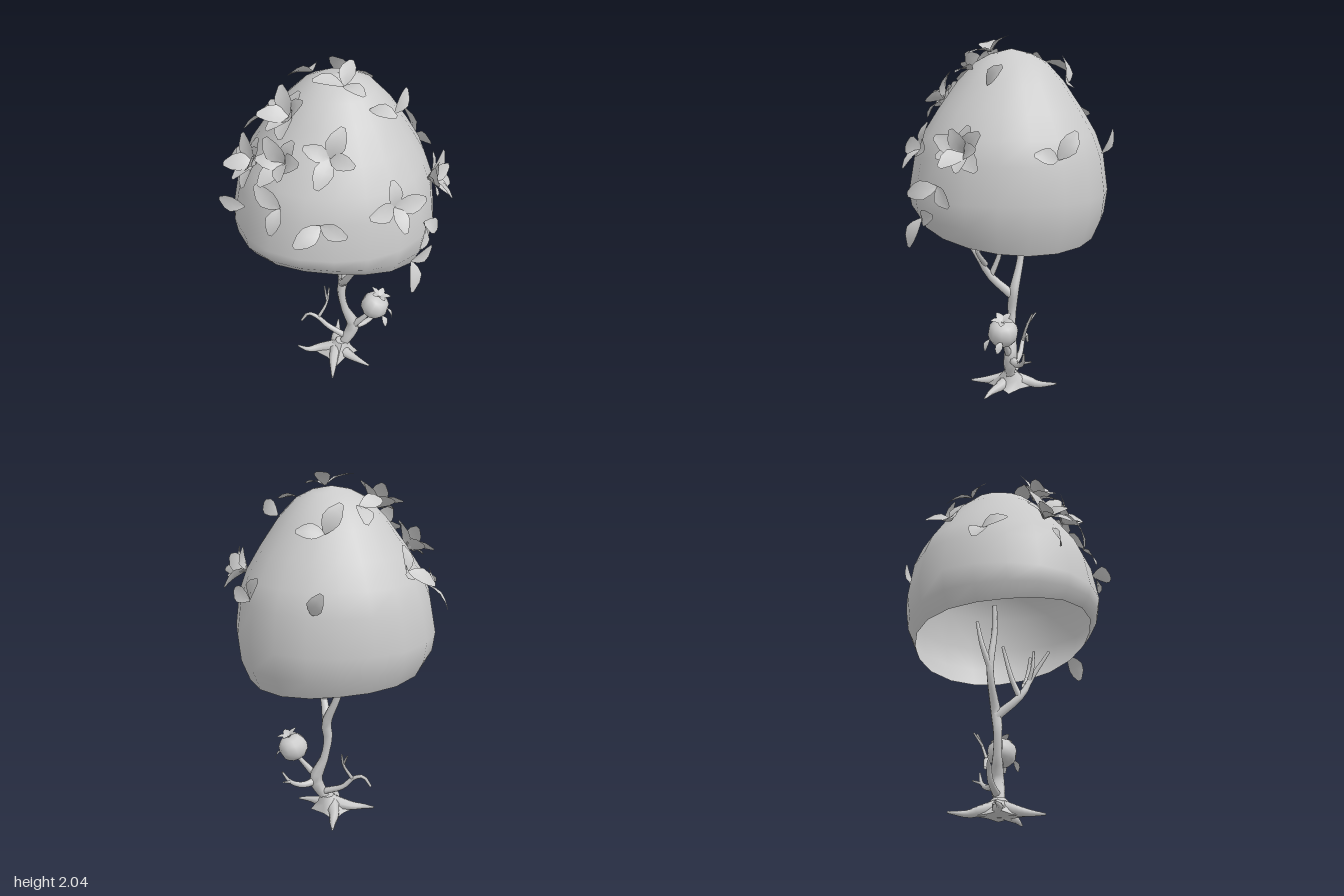
import * as THREE from 'three';

const solid = new THREE.MeshStandardMaterial({ color: 0xcccccc });
const thin = new THREE.MeshStandardMaterial({ color: 0xcccccc, side: THREE.DoubleSide });
const V = (x, y, z) => new THREE.Vector3(x, y, z);
const { lerp, degToRad } = THREE.MathUtils;

function add(parent, name, geo, material) {
  const m = new THREE.Mesh(geo, material);
  m.name = name;
  parent.add(m);
  return m;
}

function group(parent, name) {
  const g = new THREE.Group();
  g.name = name;
  parent.add(g);
  return g;
}

// Canopy profile from the crown down: height, radius
const profile = [[1.97, 0.002], [1.945, 0.11], [1.9, 0.195], [1.8, 0.29], [1.65, 0.395], [1.52, 0.475], [1.4, 0.522], [1.2, 0.554]];

// Slightly squared-off round section, leaning a little as it rises
function sectionPoint(az, y, r) {
  const s = Math.sin(az), c = Math.cos(az);
  const k = r * (Math.abs(s) ** 2.25 + Math.abs(c) ** 2.25) ** (-1 / 2.25);
  return V(s * k + 0.03 * Math.max(0, y - 1.2), y, c * k + 0.02 * (1.97 - y));
}

function canopyPoint(az, y) {
  let i = 0;
  while (i < profile.length - 2 && profile[i + 1][0] > y) i++;
  const [y0, r0] = profile[i], [y1, r1] = profile[i + 1];
  return sectionPoint(az, y, lerp(r0, r1, Math.min(1, (y - y0) / (y1 - y0))));
}

// Open dome with a wavy rim that curls inwards
function canopyGeometry() {
  const n = 20, pos = [], idx = [];
  for (let r = 0; r < profile.length + 2; r++) {
    for (let i = 0; i < n; i++) {
      const az = (i / n) * Math.PI * 2;
      const rim = 1 + 0.055 * Math.cos(az) - 0.04 * Math.sin(az) + 0.02 * Math.cos(2 * az);
      const curl = [[lerp(1.2, rim, 0.55), 0.54], [rim, 0.495]];
      pos.push(...sectionPoint(az, ...(profile[r] ?? curl[r - profile.length])).toArray());
      if (r > 0) {
        const a = (r - 1) * n + i, b = (r - 1) * n + ((i + 1) % n);
        idx.push(a, a + n, b, b, a + n, b + n);
      }
    }
  }
  const g = new THREE.BufferGeometry();
  g.setAttribute('position', new THREE.Float32BufferAttribute(pos, 3));
  g.setIndex(idx);
  g.computeVertexNormals();
  return g;
}

// Cupped leaf growing along +y from its base
function leafGeometry() {
  const widths = [0.08, 0.42, 0.6, 0.5, 0.16];
  const g = new THREE.PlaneGeometry(1, 1, 2, 4), p = g.attributes.position;
  for (let i = 0; i < p.count; i++) {
    const t = p.getY(i) + 0.5, x = p.getX(i) * widths[Math.round(t * 4)];
    p.setXYZ(i, x, t - Math.abs(x) * 0.12, 0.28 * t * (1 - t) + x * x * 0.7 - 0.12 * t * t);
  }
  g.computeVertexNormals();
  return g;
}
const leafGeo = leafGeometry();

function placeLeaf(parent, base, dir, normal, length) {
  const leaf = add(parent, 'leaf', leafGeo, thin);
  const x = V().crossVectors(dir, normal).normalize();
  leaf.quaternion.setFromRotationMatrix(new THREE.Matrix4().makeBasis(x, dir, V().crossVectors(x, dir)));
  leaf.position.copy(base);
  leaf.scale.setScalar(length);
}

// Leaves fanned about one spot of the canopy; roll is measured from uphill
function spray(parent, azimuth, y, count, roll) {
  const az = degToRad(azimuth), p = canopyPoint(az, y);
  const side = canopyPoint(az + 0.05, y).sub(p).normalize();
  const up = canopyPoint(az, y + 0.01).sub(p).normalize();
  const n = V().crossVectors(side, up).normalize();
  p.addScaledVector(n, 0.008);
  for (let i = 0; i < count; i++) {
    const a = degToRad(roll + (i * 360) / Math.max(count, 3));
    const lift = degToRad((count > 5 ? 32 : count > 1 ? 16 : 45) + (i % 3) * 9);
    const along = up.clone().multiplyScalar(Math.cos(a)).addScaledVector(side, Math.sin(a)).normalize();
    const dir = along.clone().multiplyScalar(Math.cos(lift)).addScaledVector(n, Math.sin(lift)).normalize();
    const normal = n.clone().multiplyScalar(Math.cos(lift)).addScaledVector(along, -Math.sin(lift));
    placeLeaf(parent, p, dir, normal, 0.145 + 0.025 * (i % 2));
  }
}

// Tapered limb through a few points, optionally knotted
function limb(parent, name, r0, r1, points, swell = () => 1) {
  const sides = 7, segs = (points.length - 1) * 3;
  const curve = new THREE.CatmullRomCurve3(points.map((p) => V(...p)), false, 'centripetal');
  const g = new THREE.TubeGeometry(curve, segs, 1, sides), pos = g.attributes.position;
  for (let i = 0; i < pos.count; i++) {
    const u = Math.floor(i / (sides + 1)) / segs, c = curve.getPointAt(u);
    const v = V().fromBufferAttribute(pos, i).sub(c).multiplyScalar(lerp(r0, r1, u) * swell(c.y)).add(c);
    pos.setXYZ(i, v.x, Math.max(v.y, 0), v.z);
  }
  add(parent, name, g, thin);
}

function buildTrunk(model) {
  const knots = (y) => 1 + 0.35 * Math.max(0, 1 - y) * Math.cos(((y - 0.23) / 0.37) * Math.PI * 2);
  limb(model, 'trunk', 0.036, 0.015, [
    [0.02, 0.02, 0], [0.08, 0.13, 0], [0.12, 0.23, -0.01], [0.07, 0.36, -0.01], [0.045, 0.5, -0.01],
    [0.055, 0.6, -0.02], [-0.015, 0.82, -0.055], [0.03, 1.08, -0.03], [0.04, 1.25, -0.03]], knots);

  // Forks reaching into the canopy
  limb(model, 'forwardFork', 0.028, 0.008, [[0.05, 0.57, -0.02], [0.065, 0.7, 0.12], [0.11, 0.82, 0.18], [0.12, 1, 0.29]]);
  limb(model, 'innerFork', 0.018, 0.009, [[0.06, 0.7, 0.11], [0.06, 0.8, 0.07], [0.065, 1, 0.02]]);
  limb(model, 'outerFork', 0.016, 0.009, [[0.085, 0.77, 0.14], [0.22, 0.885, 0.17], [0.235, 1.01, 0.19]]);
  limb(model, 'forkTwig', 0.013, 0.007, [[0.1, 0.81, 0.17], [0.09, 0.88, 0.19], [0.1, 0.99, 0.2]]);
  limb(model, 'backFork', 0.02, 0.009, [[-0.015, 0.84, -0.055], [-0.02, 0.97, -0.1], [-0.01, 1.12, -0.13]]);
}

function buildLowBranches(model) {
  limb(model, 'rightBranch', 0.021, 0.008, [[0.07, 0.14, -0.01], [-0.04, 0.19, -0.05], [-0.1, 0.25, -0.06], [-0.16, 0.268, -0.075], [-0.205, 0.205, -0.08]]);
  limb(model, 'rightTwig', 0.011, 0.006, [[-0.1, 0.245, -0.06], [-0.045, 0.35, -0.085], [-0.03, 0.44, -0.12]]);
  limb(model, 'rightTwig', 0.008, 0.005, [[-0.045, 0.37, -0.09], [-0.06, 0.44, -0.14]]);
  limb(model, 'leftBranch', 0.025, 0.006, [[0.11, 0.22, -0.01], [0.19, 0.21, -0.05], [0.27, 0.255, -0.09], [0.315, 0.325, -0.1]]);
  limb(model, 'leftTwig', 0.01, 0.005, [[0.26, 0.25, -0.085], [0.31, 0.28, -0.14]]);
  limb(model, 'fruitBranch', 0.024, 0.01, [[0.115, 0.24, 0], [0.16, 0.29, 0.01], [0.235, 0.38, 0.02]]);
}

// Spreading roots joined by a star-shaped skirt
function buildRoots(model) {
  for (const [x, y, z] of [[-0.23, 0.03, -0.03], [0.22, 0.01, 0.13], [-0.01, 0.02, 0.24], [0.03, 0.035, -0.27]]) {
    limb(model, 'root', 0.045, 0.006, [[0.02, 0.06, 0], [x * 0.4, 0.035, z * 0.4], [x * 0.72, 0.024, z * 0.65 + 0.015], [x, y, z]]);
  }
  const g = new THREE.CylinderGeometry(0.04, 0.11, 0.1, 8, 2), p = g.attributes.position;
  for (let i = 0; i < p.count; i++) {
    const low = 0.5 - p.getY(i) / 0.1, a = Math.atan2(p.getX(i), p.getZ(i));
    const k = 1 + low * (0.25 * Math.cos(4 * a) - 0.2 * Math.sin(low * Math.PI));
    p.setXYZ(i, p.getX(i) * k + 0.035 * (1 - low), p.getY(i), p.getZ(i) * k);
  }
  g.computeVertexNormals();
  add(model, 'rootSkirt', g, solid).position.set(0.015, 0.062, 0);
}

// Round fruit with a dimpled crown and small leaves
function buildFruit(model) {
  const fruit = group(model, 'fruit');
  fruit.position.set(0.25, 0.425, 0.022);
  fruit.rotation.z = -0.35;
  const body = new THREE.SphereGeometry(0.086, 10, 8), p = body.attributes.position;
  for (let i = 0; i < p.count; i++) {
    const r = Math.hypot(p.getX(i), p.getZ(i)) / 0.086;
    p.setY(i, p.getY(i) * (0.8 + 0.25 * r));
  }
  body.computeVertexNormals();
  add(fruit, 'fruitBody', body, solid);
  for (let i = 0; i < 5; i++) {
    const a = (i * Math.PI * 2) / 5 + 0.3;
    placeLeaf(fruit, V(0, 0.068, 0), V(Math.sin(a), 0.6, Math.cos(a)).normalize(), V(0, 1, 0), 0.07);
  }
  placeLeaf(fruit, V(0.08, 0, 0), V(0.75, -0.5, 0.3).normalize(), V(0.4, 0.8, 0), 0.07);
  placeLeaf(fruit, V(0.05, -0.01, 0.07), V(0.6, -0.6, 0.4).normalize(), V(0.5, 0.5, 0.7), 0.07);
}

export function createModel() {
  const model = new THREE.Group();
  add(model, 'canopy', canopyGeometry(), thin);
  const leaves = group(model, 'canopyLeaves');
  // Azimuth from the front towards the left, height, leaf count, roll
  [
    [34, 1.45, 4, 0], [44, 1.1, 2, 75], [-8, 1.4, 2, 110], [-32, 1.45, 2, 185], [-58, 1.36, 1, -90], [-5, 1.69, 4, -70],
    [15, 1.945, 3, 150], [40, 1.86, 1, 150], [72, 1.79, 1, 60], [218, 1.89, 2, 90], [170, 1.78, 2, -90], [165, 1.42, 1, 30],
    [123, 1.43, 2, -80], [231, 1.57, 3, 20], [256, 1.45, 2, 70], [55, 1.28, 2, 130],
    [69, 1.46, 9, 12], [-62, 1.57, 8, 0], [-38, 1.64, 6, 20], [-52, 1.81, 8, 5],
  ].forEach((s) => spray(leaves, ...s));
  buildTrunk(model);
  buildLowBranches(model);
  buildRoots(model);
  buildFruit(model);
  return model;
}
